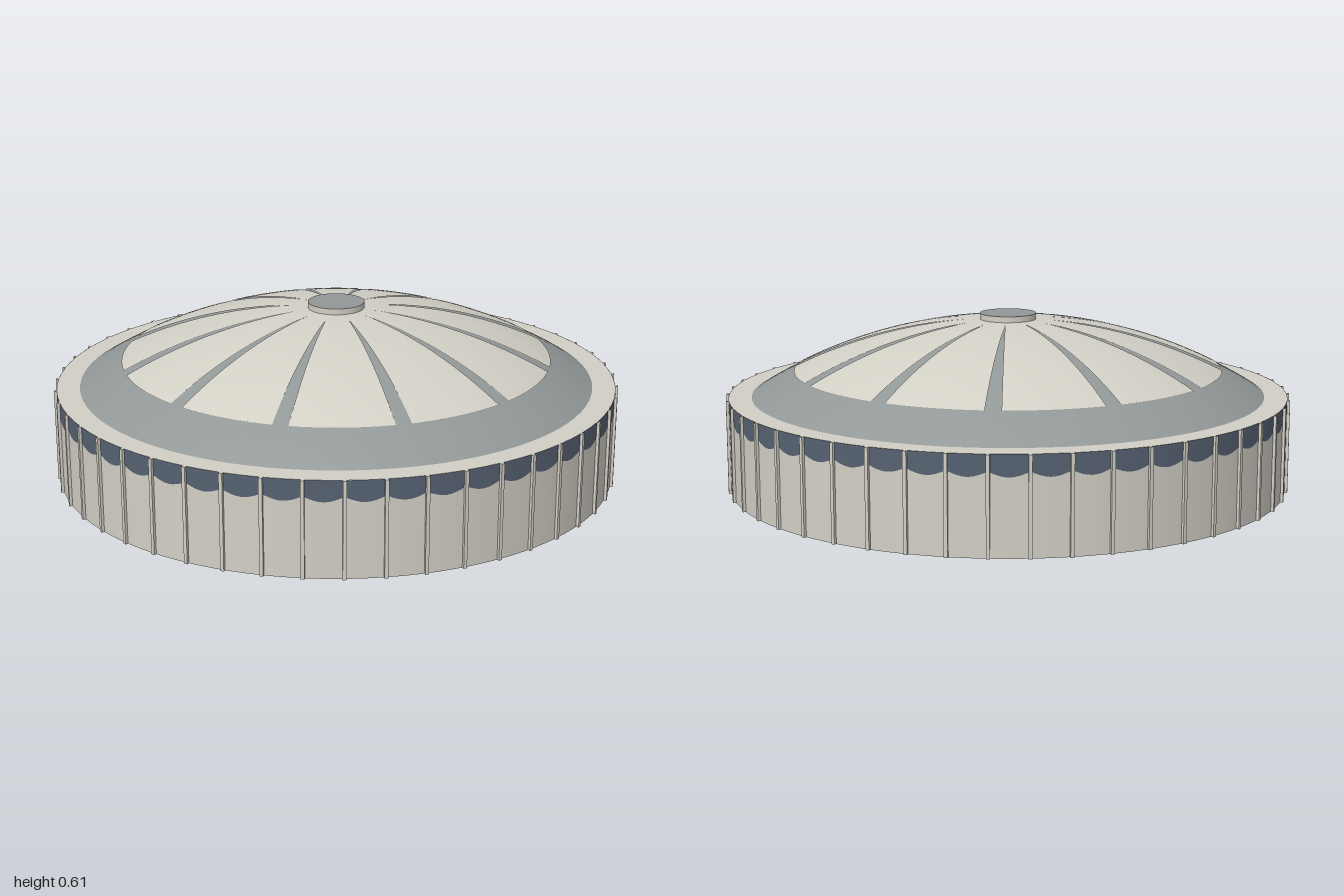
import * as THREE from 'three';

const WALL_R = 0.99, WALL_H = 0.33, DOME_R = 0.91, PANEL_R = 0.76, CAP_R = 0.1;
const SPHERE_R = 1.72, APEX = 0.59, RIBS = 48, PANELS = 12;

// Height of the spherical roof at a given radius
const domeY = (r) => APEX - SPHERE_R + Math.sqrt(SPHERE_R * SPHERE_R - r * r);

export function createModel() {
  const stone = new THREE.MeshStandardMaterial({ color: 0xd2cfc5, side: THREE.DoubleSide });
  stone.name = 'pale stone';
  const grey = new THREE.MeshStandardMaterial({ color: 0x929798, side: THREE.DoubleSide });
  grey.name = 'roof grey';
  const glass = new THREE.MeshStandardMaterial({ color: 0x566171, side: THREE.DoubleSide });
  glass.name = 'window blue';

  const model = new THREE.Group();
  model.name = 'domedArena';
  const add = (name, geometry, material, parent = model) => {
    const mesh = new THREE.Mesh(geometry, material);
    mesh.name = name;
    parent.add(mesh);
    return mesh;
  };

  // Open wall strip whose bottom and top heights follow the angle
  const wallStrip = (bottom, top) => {
    const geo = new THREE.CylinderGeometry(WALL_R, WALL_R, 1, RIBS * 8, 1, true);
    const p = geo.attributes.position;
    for (let i = 0; i < p.count; i++) {
      const a = Math.atan2(p.getX(i), p.getZ(i));
      p.setY(i, p.getY(i) > 0 ? top(a) : bottom(a));
    }
    return geo;
  };
  const scallop = (a) => 0.275 - 0.018 * Math.abs(Math.sin(a * RIBS / 2));
  add('wall', wallStrip(() => 0, scallop), stone);
  add('windowBand', wallStrip(scallop, () => WALL_H), glass);

  // Slim upright ribs
  const ribs = new THREE.Group();
  ribs.name = 'wallRibs';
  model.add(ribs);
  const ribGeo = new THREE.BoxGeometry(0.012, WALL_H, 0.012);
  for (let i = 0; i < RIBS; i++) {
    const a = i / RIBS * Math.PI * 2;
    const rib = add('rib', ribGeo, stone, ribs);
    rib.position.set(Math.sin(a) * 0.994, WALL_H / 2, Math.cos(a) * 0.994);
    rib.rotation.y = a;
  }

  // Flat ledge between wall and roof
  const ledge = add('roofLedge', new THREE.RingGeometry(DOME_R - 0.005, WALL_R, 96, 1), stone);
  ledge.rotation.x = -Math.PI / 2;
  ledge.position.y = WALL_H;

  // Grey roof shell, open at the crown
  const profile = [];
  for (let i = 0; i <= 24; i++) {
    const r = DOME_R + (CAP_R - 0.005 - DOME_R) * i / 24;
    profile.push(new THREE.Vector2(r, domeY(r)));
  }
  add('roofShell', new THREE.LatheGeometry(profile, 96), grey);

  // Pale roof panels; the gaps between them widen outwards
  const panelGeo = new THREE.PlaneGeometry(1, 1, 12, 20);
  const pos = panelGeo.attributes.position, nor = panelGeo.attributes.normal;
  const n = new THREE.Vector3();
  for (let i = 0; i < pos.count; i++) {
    const r = PANEL_R + (CAP_R - PANEL_R) * (pos.getY(i) + 0.5);
    const gap = 0.027 * Math.max(0, (r - 0.16) / (PANEL_R - 0.16));
    const a = pos.getX(i) * 2 * (Math.PI / PANELS - gap / r);
    n.set(r * Math.sin(a), domeY(r) - APEX + SPHERE_R, r * Math.cos(a)).normalize();
    nor.setXYZ(i, n.x, n.y, n.z);
    pos.setXYZ(i, r * Math.sin(a), domeY(r) + 0.003, r * Math.cos(a));
  }
  const panels = new THREE.Group();
  panels.name = 'roofPanels';
  model.add(panels);
  const panelStone = stone.clone();
  panelStone.side = THREE.FrontSide;
  for (let i = 0; i < PANELS; i++) {
    add('roofPanel', panelGeo, panelStone, panels).rotation.y = (i + 0.5) / PANELS * Math.PI * 2;
  }

  // Crown cap, hollow underneath
  const capSide = add('crownSide', new THREE.CylinderGeometry(CAP_R, CAP_R, 0.028, 48, 1, true), stone);
  capSide.position.y = 0.597;
  const capTop = add('crownTop', new THREE.CircleGeometry(CAP_R, 48), grey);
  capTop.rotation.x = -Math.PI / 2;
  capTop.position.y = 0.611;

  return model;
}
